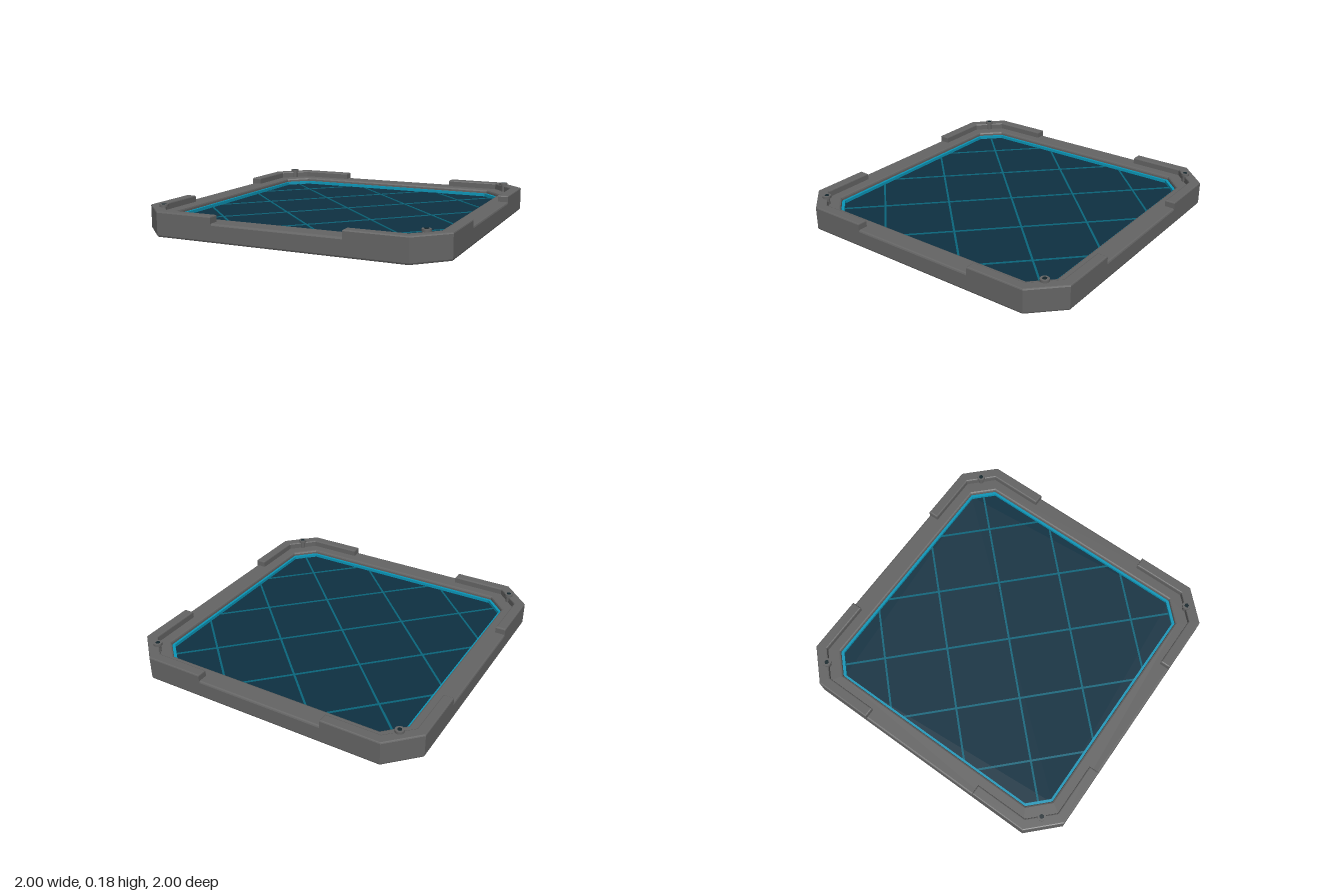
import * as THREE from 'three';

const material = (name, color) => {
  const m = new THREE.MeshStandardMaterial({ color });
  m.name = name;
  return m;
};

// Square with cut corners: half = half width, cut = corner size
function octagon(half, cut, Type = THREE.Shape) {
  const a = half, b = half - cut;
  return new Type([[a, -b], [a, b], [b, a], [-b, a], [-a, b], [-a, -b], [-b, -a], [b, -a]]
    .map(([x, y]) => new THREE.Vector2(x, y)));
}

// Extrude a plan shape upward from y0 to y1, with a bevel kept inside its outline
function slab(shape, y0, y1, bevel = 0) {
  const g = new THREE.ExtrudeGeometry(shape, {
    depth: y1 - y0 - 2 * bevel,
    bevelEnabled: bevel > 0, bevelThickness: bevel, bevelSize: bevel,
    bevelOffset: -bevel, bevelSegments: 2,
  });
  g.rotateX(-Math.PI / 2);
  g.translate(0, y0 + bevel, 0);
  return g;
}

export function createModel() {
  const group = new THREE.Group();
  const grey = material('frame grey', 0x646464);
  const dark = material('socket dark', 0x14262c);
  const glass = material('glass blue', 0x0e3142);
  const cyan = material('trim cyan', 0x0a96b8);
  const teal = material('grid teal', 0x0a667c);

  const add = (parent, name, geometry, mat) => {
    const mesh = new THREE.Mesh(geometry, mat);
    mesh.name = name;
    parent.add(mesh);
    return mesh;
  };

  // Main frame with an octagonal opening
  const frame = octagon(1, 0.185);
  frame.holes.push(octagon(0.862, 0.123, THREE.Path));
  add(group, 'frame', slab(frame, 0, 0.117, 0.012), grey);

  // Glass panel, recessed from both sides
  add(group, 'glassPanel', slab(octagon(0.864, 0.123), 0.04, 0.072), glass);

  // Bright trim round the glass
  const trim = octagon(0.863, 0.123);
  trim.holes.push(octagon(0.846, 0.118, THREE.Path));
  add(group, 'glowTrim', slab(trim, 0.07, 0.092), cyan);

  // Diagonal grid lines on the glass
  const grid = new THREE.Group();
  grid.name = 'gridLines';
  group.add(grid);
  for (const side of [1, -1]) {
    for (let k = -2; k <= 2; k++) {
      const c = 0.6 * k;
      const half = Math.min(0.79, 0.85 - Math.abs(c) / 2);
      const line = add(grid, 'gridLine',
        new THREE.BoxGeometry(half * 2 * Math.SQRT2, 0.006, 0.013), teal);
      line.position.set(c / 2, 0.073, side * c / 2);
      line.rotation.y = side * Math.PI / 4;
    }
  }

  // Raised corner brackets, each with a screw
  const bracketShape = new THREE.Shape([
    [1, 0.427], [1, 0.815], [0.815, 1], [0.427, 1],
    [0.427, 0.932], [0.785, 0.932], [0.932, 0.785], [0.932, 0.427],
  ].map(([x, y]) => new THREE.Vector2(x, y)));
  const bracketGeometry = slab(bracketShape, 0.075, 0.16, 0.008);
  for (let i = 0; i < 4; i++) {
    const corner = new THREE.Group();
    corner.name = 'corner';
    corner.rotation.y = i * Math.PI / 2;
    group.add(corner);
    add(corner, 'bracket', bracketGeometry, grey);
    const parts = [
      ['screwPost', 0.018, 0.1, 0.165, 12, grey],
      ['screwHead', 0.028, 0.163, 0.179, 20, grey],
      ['screwSocket', 0.015, 0.175, 0.181, 6, dark],
    ];
    for (const [name, r, y0, y1, sides, mat] of parts) {
      add(corner, name, new THREE.CylinderGeometry(r, r, y1 - y0, sides), mat)
        .position.set(0.863, (y0 + y1) / 2, -0.863);
    }
  }
  return group;
}
